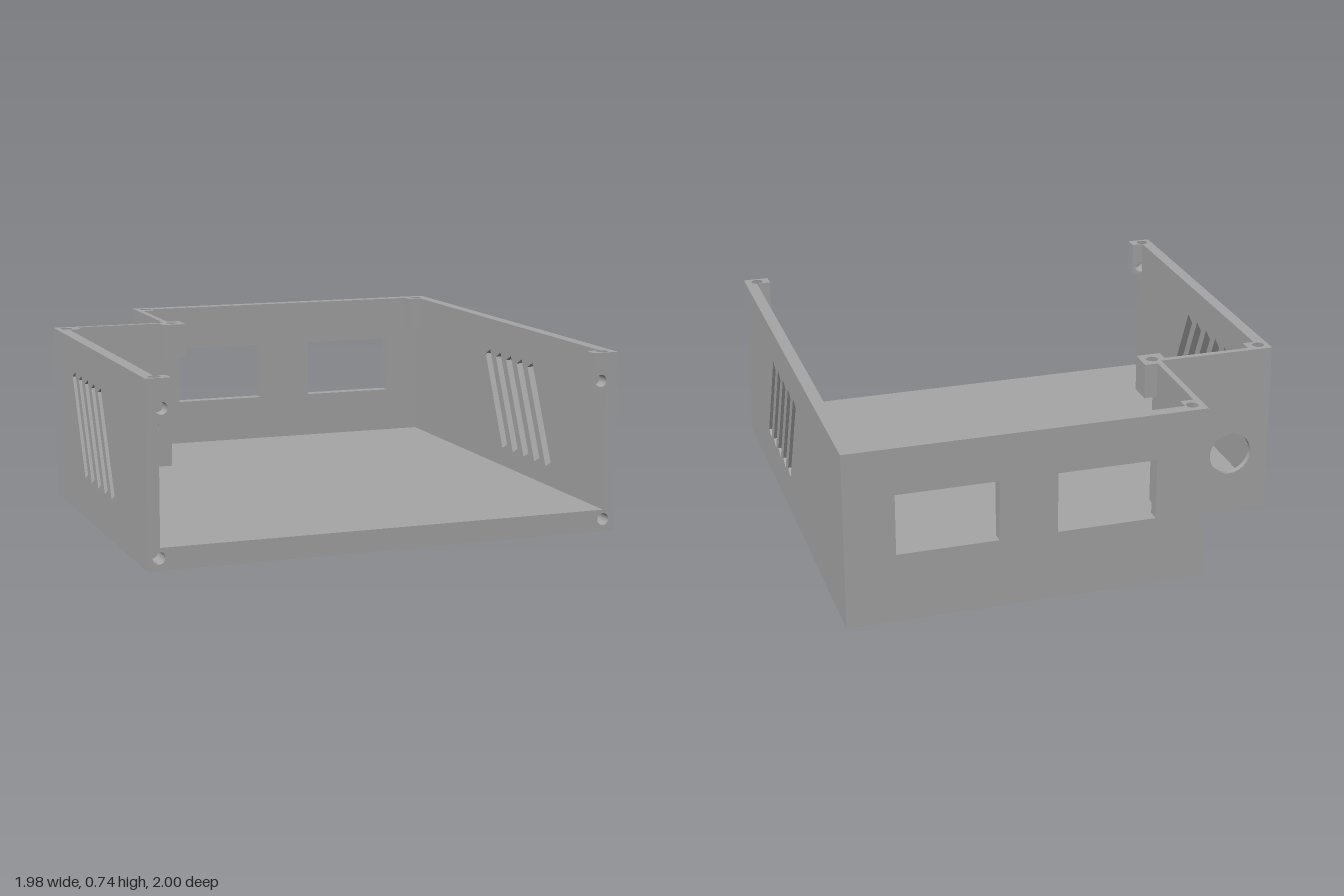
import * as THREE from 'three';

const grey = new THREE.MeshStandardMaterial({ color: 0xa6a6a6 });
grey.name = 'grey plastic';

const H = 0.74, FLOOR = 0.09, RIM = 0.66, POST = 0.59; // key heights

const polygon = (pts) => new THREE.Shape(pts.map(([a, b]) => new THREE.Vector2(a, b)));
const rect = (a0, b0, a1, b1) => [[a0, b0], [a1, b0], [a1, b1], [a0, b1]];
const polyHole = (pts) => new THREE.Path(pts.map(([a, b]) => new THREE.Vector2(a, b)));
const roundHole = (a, b, r) => new THREE.Path().absarc(a, b, r, 0, Math.PI * 2, true);

function extrude(pts, holes, depth) {
  const shape = polygon(pts);
  shape.holes.push(...holes);
  return new THREE.ExtrudeGeometry(shape, { depth, bevelEnabled: false, curveSegments: 24 });
}

// Plan outline in (x, z), raised from y0 to y1
function slab(pts, holes, y0, y1) {
  const flip = pts.map(([x, z]) => [x, -z]);
  const cut = holes.map(([x, z, r]) => roundHole(x, -z, r));
  return extrude(flip, cut, y1 - y0).rotateX(-Math.PI / 2).translate(0, y0, 0);
}

// Outline in (x, y), from z0 to z1
const facingZ = (pts, holes, z0, z1) => extrude(pts, holes, z1 - z0).translate(0, 0, z0);

// Outline in (z, y), from x0 to x1
const facingX = (pts, holes, x0, x1) => extrude(pts, holes, x1 - x0).rotateY(-Math.PI / 2).translate(x1, 0, 0);

export function createModel() {
  const model = new THREE.Group();
  model.name = 'enclosure';
  const add = (name, geometry) => {
    const mesh = new THREE.Mesh(geometry, grey);
    mesh.name = name;
    model.add(mesh);
  };

  // Floor with a notched back corner, and its drilled front edge
  add('floor', slab([[-0.99, 0.9], [0.99, 0.9], [0.99, -1], [-0.49, -1], [-0.49, -0.48], [-0.99, -0.48]], [], 0, FLOOR));
  add('floorFrontEdge', facingZ(rect(-0.99, 0, 0.99, FLOOR),
    [roundHole(-0.945, 0.05, 0.025), roundHole(0.94, 0.05, 0.025)], 0.9, 1));

  // Side walls with five slanted vents each
  const vents = () => Array.from({ length: 5 }, (_, i) => {
    const s = -i * 0.107;
    return polyHole([[0.525 + s, 0.195], [0.477 + s, 0.17], [0.284 + s, 0.575], [0.332 + s, 0.6]]);
  });
  const sideOutline = (back) => [[back, FLOOR], [1, FLOOR], [1, POST], [0.94, POST], [0.94, RIM], [back, RIM]];
  add('leftWall', facingX(sideOutline(-1), vents(), 0.94, 0.99));
  add('rightWall', facingX(sideOutline(-0.48), vents(), -0.99, -0.94));

  // Back wall with two rectangular windows
  add('backWall', facingZ(rect(-0.49, FLOOR, 0.94, RIM), [
    polyHole(rect(-0.28, 0.29, 0.13, 0.545)),
    polyHole(rect(0.37, 0.29, 0.785, 0.545)),
  ], -1, -0.95));

  // Thin notch walls, one with two round openings
  add('notchSideWall', facingX(rect(-0.95, FLOOR, -0.455, RIM), [], -0.49, -0.465));
  add('notchBackWall', facingZ(rect(-0.94, FLOOR, -0.49, RIM),
    [roundHole(-0.82, 0.27, 0.093), roundHole(-0.58, 0.27, 0.057)], -0.48, -0.455));

  // Top rim: walls and screw posts in one outline, with screw holes
  const rim = [
    [-0.99, 1], [-0.99, -0.48], [-0.49, -0.48], [-0.49, -1], [0.99, -1], [0.99, 1],
    [0.88, 1], [0.88, 0.94], [0.94, 0.94], [0.94, -0.9], [0.88, -0.9], [0.88, -0.95],
    [-0.41, -0.95], [-0.41, -0.9], [-0.465, -0.9], [-0.465, -0.505], [-0.41, -0.505],
    [-0.41, -0.4], [-0.515, -0.4], [-0.515, -0.455], [-0.89, -0.455], [-0.89, -0.4],
    [-0.94, -0.4], [-0.94, 0.94], [-0.89, 0.94], [-0.89, 1],
  ];
  const screws = [[-0.945, 0.965], [0.935, 0.965], [-0.945, -0.435], [-0.46, -0.452], [-0.44, -0.95], [0.935, -0.95]];
  add('topRim', slab(rim, screws.map(([x, z]) => [x, z, 0.025]), RIM, H));

  // Lower parts of the back screw posts
  const posts = {
    backLeftPost: rect(0.88, -0.95, 0.94, -0.9),
    backRightPost: rect(-0.465, -0.95, -0.41, -0.9),
    rightNotchPost: rect(-0.94, -0.455, -0.89, -0.4),
    innerNotchPost: [[-0.515, -0.455], [-0.465, -0.455], [-0.465, -0.505], [-0.41, -0.505], [-0.41, -0.4], [-0.515, -0.4]],
  };
  for (const [name, pts] of Object.entries(posts)) add(name, slab(pts, [], POST, RIM));

  // Front screw posts drilled from the front
  add('frontLeftPost', facingZ(rect(0.88, POST, 0.99, RIM), [roundHole(0.915, 0.625, 0.025)], 0.94, 1));
  add('frontRightPost', facingZ(rect(-0.99, POST, -0.89, RIM), [roundHole(-0.93, 0.625, 0.025)], 0.94, 1));

  return model;
}
